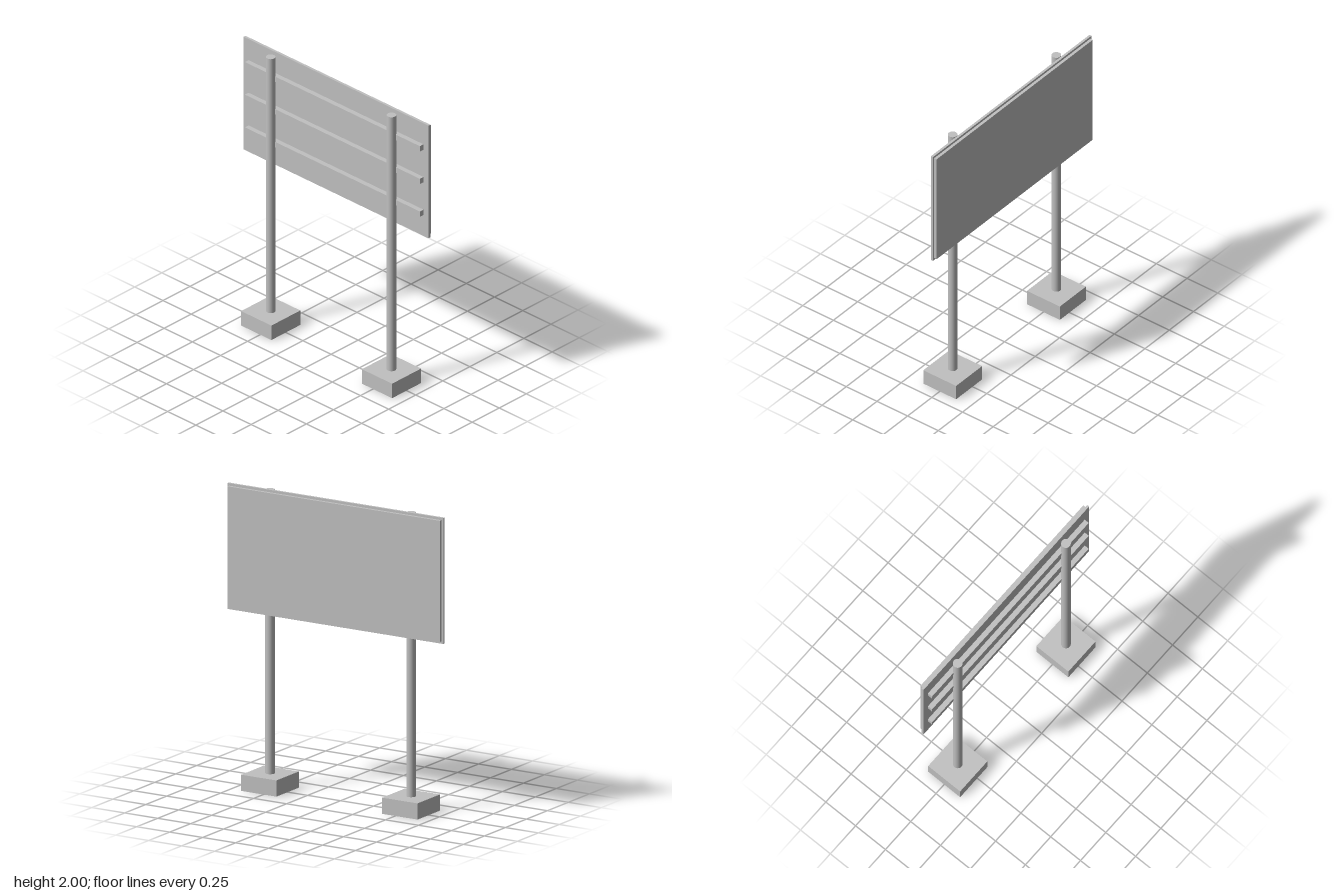
import * as THREE from 'three';

export function createModel() {
  const model = new THREE.Group();
  model.name = 'billboard';
  const grey = new THREE.MeshStandardMaterial({ color: 0xc0c0c0 });
  grey.name = 'light grey';

  function add(name, geometry, x, y, z) {
    const mesh = new THREE.Mesh(geometry, grey);
    mesh.name = name;
    mesh.position.set(x, y, z);
    model.add(mesh);
  }

  // Footings and round posts, mirrored left and right
  const baseHeight = 0.107, postTop = 1.985;
  const footing = new THREE.BoxGeometry(0.268, baseHeight, 0.268);
  const post = new THREE.CylinderGeometry(0.031, 0.031, postTop - baseHeight, 32);
  for (const [side, x] of [['left', 0.535], ['right', -0.535]]) {
    add(side + 'Footing', footing, x, baseHeight / 2, 0);
    add(side + 'Post', post, x, (postTop + baseHeight) / 2, 0);
  }

  // Horizontal rails carrying the board
  const rail = new THREE.BoxGeometry(1.55, 0.04, 0.034);
  [['top', 1.825], ['middle', 1.584], ['bottom', 1.342]].forEach(([level, y]) =>
    add(level + 'Rail', rail, 0, y, -0.029));

  // Backing board and the slightly smaller display sheet behind it
  add('backingBoard', new THREE.BoxGeometry(1.638, 0.833, 0.017), 0, 1.5835, -0.0545);
  add('displaySheet', new THREE.BoxGeometry(1.61, 0.802, 0.02), 0, 1.5835, -0.073);

  return model;
}
